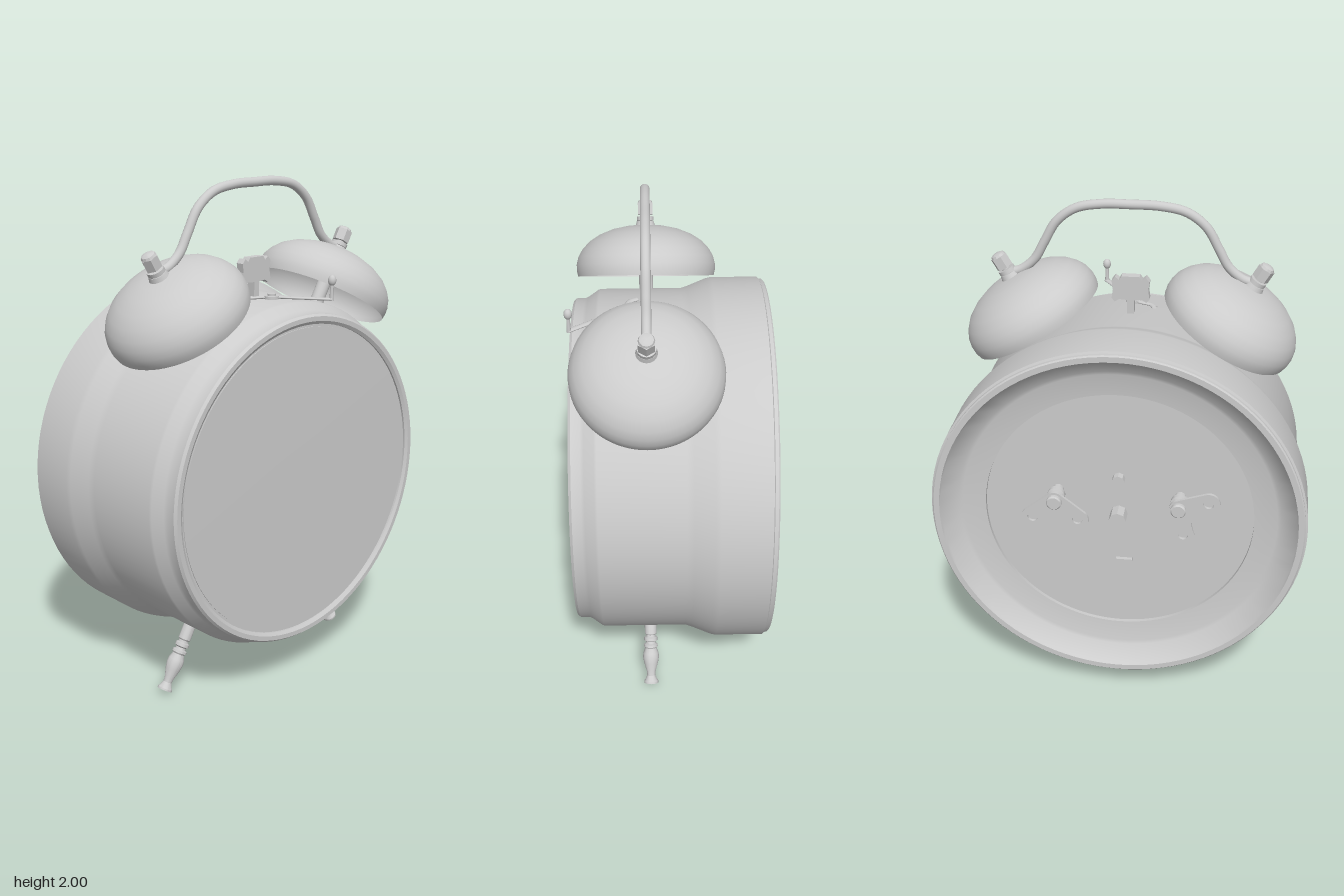
import * as THREE from 'three';
import { toCreasedNormals } from 'three/addons/utils/BufferGeometryUtils.js';

const AXIS_Y = 0.855; // height of the case axis
const MID_X = 0.09;   // plane of the bells, handle and legs

export function createModel() {
  const model = new THREE.Group();
  const mat = new THREE.MeshStandardMaterial({ color: 0xcccccc });
  const thin = new THREE.MeshStandardMaterial({ color: 0xcccccc, side: THREE.DoubleSide });

  function add(parent, name, geometry, x = 0, y = 0, z = 0, material = mat) {
    const mesh = new THREE.Mesh(geometry, material);
    mesh.name = name;
    mesh.position.set(x, y, z);
    parent.add(mesh);
    return mesh;
  }
  // Lathe from [radius, height] pairs, with crisp edges
  function lathe(points, sides) {
    const g = new THREE.LatheGeometry(points.map(p => new THREE.Vector2(p[0], p[1])), sides);
    return toCreasedNormals(g, 0.45);
  }
  // Flat plate centred on its thickness
  function plate(shape, depth) {
    const g = new THREE.ExtrudeGeometry(shape, { depth, bevelEnabled: false, curveSegments: 16 });
    return g.translate(0, 0, -depth / 2);
  }
  // Group whose +y points outward from the case axis
  function radial(name, angle) {
    const g = new THREE.Group();
    g.name = name;
    g.position.set(MID_X, AXIS_Y, 0);
    g.rotation.x = angle;
    model.add(g);
    return g;
  }

  // Case: recessed back, stepped drum, front bezel
  const caseMesh = add(model, 'case', lathe([
    [0, -0.29], [0.53, -0.29], [0.53, -0.305], [0.62, -0.315], [0.635, -0.32],
    [0.695, -0.37], [0.7, -0.38], [0.722, -0.38], [0.727, -0.375], [0.727, -0.362],
    [0.735, -0.358], [0.735, -0.17], [0.73, -0.15], [0.7, -0.075], [0.692, -0.05],
    [0.692, 0.275], [0.688, 0.285], [0.662, 0.322], [0.656, 0.335], [0.656, 0.37],
    [0.648, 0.38], [0.63, 0.38], [0.618, 0.372], [0.618, 0.364], [0.607, 0.364]
  ], 96), 0, AXIS_Y, 0);
  caseMesh.rotation.z = -Math.PI / 2;
  const glass = add(model, 'glass', lathe([[0.607, 0.355], [0.607, 0.367], [0, 0.37]], 96), 0, AXIS_Y, 0);
  glass.rotation.z = -Math.PI / 2;

  // Bells with post, washer and nuts
  for (const side of [1, -1]) {
    const bell = radial(side > 0 ? 'leftBell' : 'rightBell', side * Math.PI / 6);
    add(bell, 'bellDome', new THREE.LatheGeometry([
      [0.276, 0.743], [0.281, 0.765], [0.281, 0.79], [0.274, 0.82], [0.257, 0.85],
      [0.228, 0.882], [0.185, 0.91], [0.13, 0.932], [0.07, 0.944], [0, 0.948]
    ].map(p => new THREE.Vector2(...p)), 64), 0, 0, 0, thin);
    add(bell, 'bellPost', new THREE.CylinderGeometry(0.028, 0.028, 0.2, 20), 0, 0.76, 0);
    add(bell, 'postStud', new THREE.CylinderGeometry(0.017, 0.017, 0.2, 16), 0, 0.93, 0);
    add(bell, 'washer', new THREE.CylinderGeometry(0.034, 0.04, 0.02, 24), 0, 0.953, 0);
    add(bell, 'handleEye', new THREE.CylinderGeometry(0.034, 0.034, 0.016, 24), 0, 0.973, 0);
    const nut = new THREE.CylinderGeometry(0.034, 0.034, 0.048, 6).toNonIndexed();
    nut.computeVertexNormals();
    add(bell, 'nut', nut, 0, 1.012, 0);
    add(bell, 'nutCap', lathe([[0.03, 1.036], [0.026, 1.045], [0.014, 1.05], [0, 1.051]], 12));
  }

  // Carrying handle, mirrored about z = 0
  const half = [[0.48, 1.69], [0.43, 1.705], [0.375, 1.75], [0.335, 1.82], [0.285, 1.905], [0.21, 1.96], [0.11, 1.98]];
  const path = [...half, [0, 1.982], ...half.map(([z, y]) => [-z, y]).reverse()]
    .map(([z, y]) => new THREE.Vector3(MID_X, y, z));
  add(model, 'handle', new THREE.TubeGeometry(new THREE.CatmullRomCurve3(path), 96, 0.018, 16));

  // Turned legs
  for (const side of [1, -1]) {
    const leg = radial(side > 0 ? 'leftLeg' : 'rightLeg', side * Math.PI * 5 / 6);
    add(leg, 'turnedLeg', lathe([
      [0.025, 0.64], [0.025, 0.755], [0.02, 0.76], [0.02, 0.768], [0.028, 0.773], [0.028, 0.785],
      [0.02, 0.79], [0.021, 0.798], [0.029, 0.803], [0.029, 0.812], [0.024, 0.818], [0.032, 0.84],
      [0.034, 0.858], [0.029, 0.885], [0.019, 0.92], [0.017, 0.938], [0.024, 0.955],
      [0.03, 0.963], [0.03, 0.97], [0, 0.972]
    ], 24));
  }

  // Hammer between the bells
  const hs = new THREE.Shape();
  const hp = [[0.013, 1.53], [0.013, 1.603], [0.045, 1.606], [0.062, 1.594], [0.074, 1.61],
    [0.069, 1.645], [0.074, 1.68], [0.06, 1.697], [0.045, 1.685], [0.035, 1.7]];
  hs.setFromPoints([...hp, ...hp.map(([a, b]) => [-a, b]).reverse()].map(p => new THREE.Vector2(...p)));
  const hammer = add(model, 'hammer', plate(hs, 0.034), MID_X, 0, 0);
  hammer.rotation.y = -Math.PI / 2;

  // Stop lever on top of the case, with pivot and upright tip
  const lever = new THREE.Group();
  lever.name = 'stopLever';
  lever.position.y = 1.555;
  model.add(lever);
  const leverPath = new THREE.CatmullRomCurve3([[0.125, 0.09], [0.15, 0.075], [0.168, 0.035], [0.19, 0],
    [0.25, -0.043], [0.31, -0.085], [0.38, -0.135]].map(([x, z]) => new THREE.Vector3(x, 0, z)));
  const arm = add(lever, 'leverArm', new THREE.TubeGeometry(leverPath, 40, 0.012, 10), 0, 0, 0, thin);
  arm.scale.y = 0.45;
  add(lever, 'leverBoss', new THREE.CylinderGeometry(0.03, 0.03, 0.012, 24), 0.19, 0, 0);
  add(lever, 'leverScrew', new THREE.CylinderGeometry(0.016, 0.016, 0.04, 16), 0.19, -0.006, 0);
  add(lever, 'leverTip', new THREE.CylinderGeometry(0.006, 0.009, 0.07, 10), 0.378, 0.03, -0.134);
  add(lever, 'leverKnob', new THREE.SphereGeometry(0.016, 16, 12), 0.378, 0.072, -0.134).scale.y = 1.3;

  // Back fittings: local +z points out of the back
  const back = new THREE.Group();
  back.name = 'backFittings';
  back.position.set(-0.29, AXIS_Y, 0);
  back.rotation.y = -Math.PI / 2;
  model.add(back);

  // Two-lobed winding key outline
  const ks = new THREE.Shape();
  const lx = 0.088, ly = -0.08, q = Math.PI / 4;
  ks.absarc(0, 0, 0.036, q, 3 * q, false);
  ks.absarc(-lx, ly, 0.043, 3 * q, 7 * q, false);
  ks.quadraticCurveTo(0, -0.03, lx - 0.03, ly - 0.03);
  ks.absarc(lx, ly, 0.043, 5 * q, 9 * q, false);
  for (const s of [1, -1]) ks.holes.push(new THREE.Path().absarc(s * lx, ly, 0.02, 0, Math.PI * 2, true));

  for (const [z, turn] of [[-0.24, 0], [0.24, 1]]) {
    const key = new THREE.Group();
    key.name = 'windingKey';
    key.position.set(z, 0.093, 0);
    key.rotation.z = turn;
    back.add(key);
    add(key, 'keyWings', plate(ks, 0.012), 0, 0, 0.083);
    const hub = add(key, 'keyHub', lathe([[0.022, -0.01], [0.022, 0.03], [0.034, 0.033], [0.034, 0.052],
      [0.024, 0.056], [0.024, 0.09], [0.03, 0.093], [0.03, 0.105], [0.025, 0.11], [0, 0.11]], 24));
    hub.rotation.x = Math.PI / 2;
  }

  // Setting knobs and regulator slot
  for (const [y, r, h] of [[0, 0.034, 0.06], [0.16, 0.025, 0.03]]) {
    const g = new THREE.CylinderGeometry(r, r, h, 8).toNonIndexed();
    g.computeVertexNormals();
    add(back, 'settingKnob', g, 0, y, h / 2).rotation.x = Math.PI / 2;
  }
  add(back, 'regulator', new THREE.BoxGeometry(0.065, 0.014, 0.02), 0.02, -0.22, 0.005);

  return model;
}
